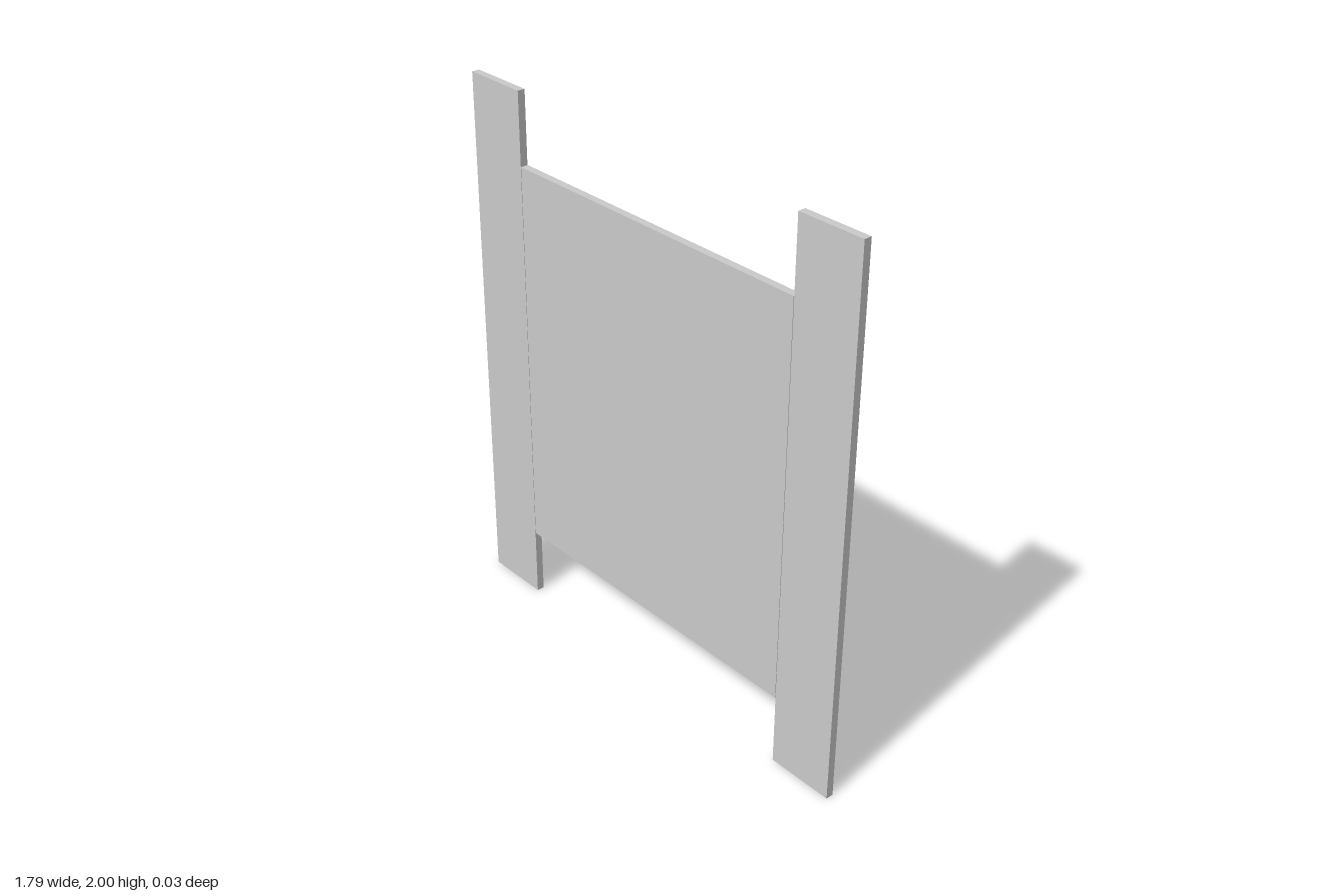
import * as THREE from 'three';

const THICKNESS = 0.028;
const POST_INNER = 0.642, POST_OUTER = 0.893;

export function createModel() {
  const group = new THREE.Group();
  const material = new THREE.MeshStandardMaterial({ color: 0xcccccc, flatShading: true });

  const addBoard = (name, width, height, x) => {
    const board = new THREE.Mesh(new THREE.BoxGeometry(width, height, THICKNESS), material);
    board.name = name;
    board.position.set(x, 1, 0);
    group.add(board);
  };

  // Shorter centre panel, centred on the height of the posts
  addBoard('centrePanel', 2 * POST_INNER - 0.004, 1.47, 0);

  // Full-height flat posts on both sides
  for (const [name, side] of [['leftPost', 1], ['rightPost', -1]]) {
    addBoard(name, POST_OUTER - POST_INNER, 2, side * (POST_INNER + POST_OUTER) / 2);
  }

  return group;
}
